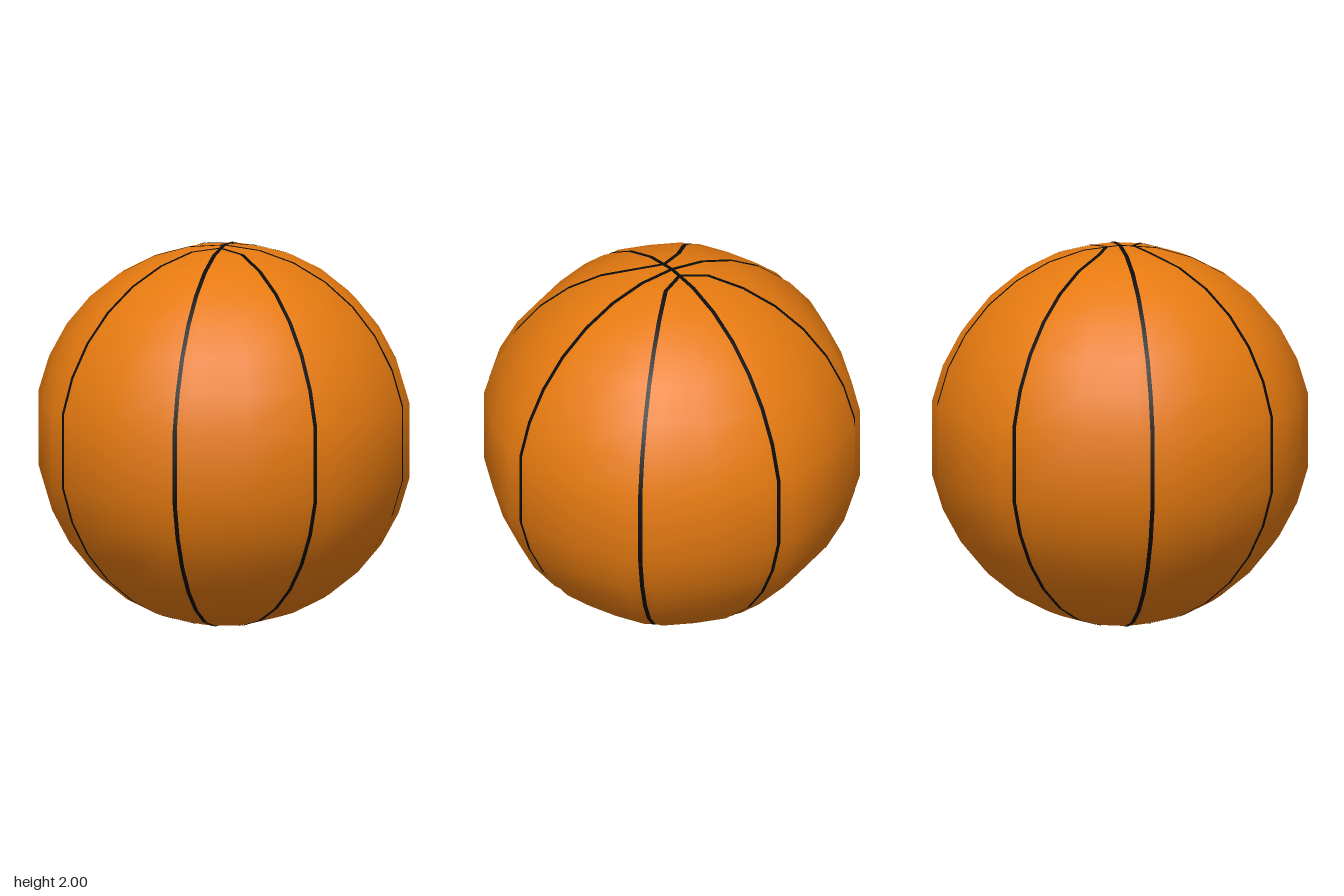
import * as THREE from 'three';

const RADIUS = 0.996, CENTRE_Y = 1, STEP = Math.PI / 16;
const ROWS = [-8, -7, -6, -5, -4, -3, -2, -1, 1, 2, 3, 4, 5, 6, 7, 8]; // no ring on the equator
// One panel across: angle in degrees from its seam, and how far it bulges
const COLUMNS = [[0, 0.98], [4.7, 1.004], [22.5, 0.977], [40.3, 1.004], [45, 0.98]];

// Point on the ball relative to its centre
function ballPoint(angle, row, bulge) {
  const r = RADIUS * bulge * Math.cos(row * STEP);
  return new THREE.Vector3(r * Math.sin(angle), RADIUS * Math.sin(row * STEP), r * Math.cos(angle));
}

// Skin a grid of points, with smooth normals pointing away from the centre
function gridGeometry(grid) {
  const positions = [], normals = [], index = [], n = grid[0].length;
  grid.forEach((line) => line.forEach((p) => {
    positions.push(p.x, p.y + CENTRE_Y, p.z);
    normals.push(...p.clone().normalize().toArray());
  }));
  for (let j = 0; j < grid.length - 1; j++) {
    for (let i = 0; i < n - 1; i++) {
      const a = j * n + i, b = a + 1, c = b + n, d = a + n;
      index.push(a, b, c, a, c, d);
    }
  }
  const geometry = new THREE.BufferGeometry();
  geometry.setAttribute('position', new THREE.Float32BufferAttribute(positions, 3));
  geometry.setAttribute('normal', new THREE.Float32BufferAttribute(normals, 3));
  geometry.setIndex(index);
  return geometry;
}

// Bulging wedge between two seams
function panelGeometry(start) {
  return gridGeometry(ROWS.map((row) => COLUMNS.map(([deg, bulge]) =>
    ballPoint(start + THREE.MathUtils.degToRad(deg), row, bulge))));
}

// Narrow strip lying in the groove; diagonal seams bend to meet in pairs beside the poles
function seamGeometry(angle, diagonal) {
  const side = new THREE.Vector3(Math.cos(angle), 0, -Math.sin(angle)).multiplyScalar(0.011);
  return gridGeometry(ROWS.map((row) => {
    const p = ballPoint(angle, row, 0.98);
    if (diagonal && Math.abs(row) === 8) {
      p.set(0, Math.sign(row) * 0.992, Math.sign(Math.cos(angle)) * 0.07);
    }
    p.addScaledVector(p.clone().normalize(), 0.004);
    return [p.clone().sub(side), p.clone().add(side)];
  }));
}

export function createModel() {
  const orange = new THREE.MeshStandardMaterial({ color: 0xe67a10 });
  orange.name = 'orange rubber';
  const black = new THREE.MeshStandardMaterial({ color: 0x0b0b0b, side: THREE.DoubleSide });
  black.name = 'black seam';

  const ball = new THREE.Group();
  ball.name = 'ball';
  for (let i = 0; i < 8; i++) {
    const angle = i * Math.PI / 4;
    const panel = new THREE.Mesh(panelGeometry(angle), orange);
    panel.name = `panel${i + 1}`;
    const seam = new THREE.Mesh(seamGeometry(angle, i % 2 === 1), black);
    seam.name = `seam${i + 1}`;
    ball.add(panel, seam);
  }
  return ball;
}
